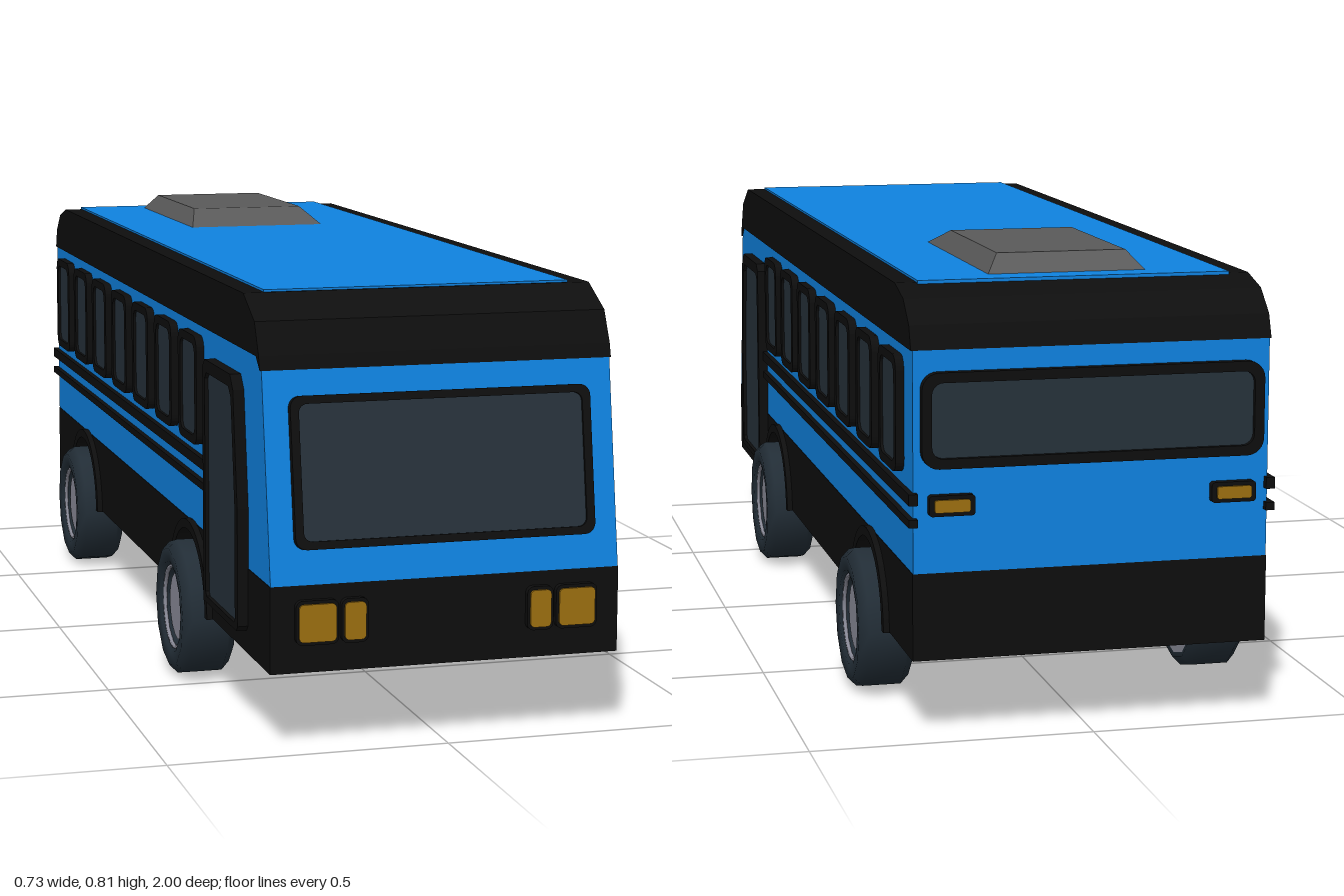
import * as THREE from 'three';

const mat = (name, color, side = THREE.FrontSide) => {
  const m = new THREE.MeshStandardMaterial({ color, side });
  m.name = name;
  return m;
};

// Rounded rectangle outline
function roundRect(cx, cy, w, h, r) {
  const s = new THREE.Shape(), x = cx - w / 2, y = cy - h / 2, q = Math.PI / 2;
  s.absarc(x + w - r, y + r, r, -q, 0);
  s.absarc(x + w - r, y + h - r, r, 0, q);
  s.absarc(x + r, y + h - r, r, q, 2 * q);
  s.absarc(x + r, y + r, r, 2 * q, 3 * q);
  s.closePath();
  return s;
}

const poly = (pts) => new THREE.Shape(pts.map(([a, b]) => new THREE.Vector2(a, b)));

// Same outline with an opening cut in it
function withHole(outer, inner) {
  const s = outer.clone();
  s.holes.push(new THREE.Path(inner.getPoints(3)));
  return s;
}

// Extrusion centred on its depth, facing z
function plate(shape, depth) {
  return new THREE.ExtrudeGeometry(shape, { depth, bevelEnabled: false, curveSegments: 3 })
    .translate(0, 0, -depth / 2);
}

// Outline drawn in (z, y) and extruded across x
function slab(shape, width, curveSegments = 3) {
  return new THREE.ExtrudeGeometry(shape, { depth: width, bevelEnabled: false, curveSegments })
    .translate(0, 0, -width / 2).rotateY(-Math.PI / 2);
}

export function createModel() {
  const blue = mat('bodyBlue', 0x0f82e0);
  const black = mat('trimBlack', 0x0e0e0e);
  const glass = mat('darkGlass', 0x26313a);
  const rubber = mat('tyreRubber', 0x222d36, THREE.DoubleSide);
  const metal = mat('rimMetal', 0x8b8c99);
  const grey = mat('roofUnitGrey', 0x5a5a5a);
  const amber = mat('lampAmber', 0x9c6f10);

  const root = new THREE.Group();
  root.name = 'bus';
  const add = (name, geo, material, x = 0, y = 0, z = 0, parent = root) => {
    const m = new THREE.Mesh(geo, material);
    m.name = name;
    m.position.set(x, y, z);
    parent.add(m);
    return m;
  };

  const axles = [-0.623, 0.412];

  // Lower skirt with wheel arch openings
  const skirt = new THREE.Shape();
  skirt.moveTo(-0.98, 0.14);
  for (const z of axles) {
    skirt.lineTo(z - 0.14, 0.14);
    skirt.absarc(z, 0.14, 0.14, Math.PI, 0, true);
  }
  skirt.lineTo(0.985, 0.14);
  skirt.lineTo(0.985, 0.293);
  skirt.lineTo(-0.98, 0.293);
  skirt.closePath();
  add('lowerSkirt', slab(skirt, 0.632, 10), black);

  // Blue middle and black upper body
  add('bodyShell', slab(poly([[-0.98, 0.293], [0.985, 0.293], [0.927, 0.655], [0.9, 0.677], [-0.98, 0.677]]), 0.63), blue);
  add('upperBody', slab(poly([[-0.98, 0.677], [0.9, 0.677], [0.927, 0.655], [0.92, 0.68], [0.892, 0.735],
    [0.815, 0.775], [-0.85, 0.775], [-0.92, 0.757], [-0.965, 0.718]]), 0.636), black);
  add('roofPanel', new THREE.BoxGeometry(0.56, 0.006, 1.67), blue, 0, 0.776, -0.025);

  // Roof unit: a box with its top drawn in
  const unit = new THREE.BoxGeometry(0.294, 0.038, 0.515);
  const p = unit.attributes.position;
  for (let i = 0; i < p.count; i++) {
    if (p.getY(i) > 0) {
      p.setX(i, p.getX(i) * 0.8);
      p.setZ(i, p.getZ(i) > 0 ? 0.15 : -0.21);
    }
  }
  const unitFlat = unit.toNonIndexed();
  unitFlat.computeVertexNormals();
  add('roofUnit', unitFlat, grey, 0, 0.792, -0.555);

  // Windscreen leaning back with the front
  const screen = new THREE.Group();
  screen.name = 'windscreen';
  screen.position.set(0, 0.482, 0.957);
  screen.rotation.x = -0.16;
  root.add(screen);
  const screenHole = roundRect(0, 0, 0.512, 0.234, 0.015);
  add('windscreenFrame', plate(withHole(roundRect(0, 0, 0.542, 0.262, 0.02), screenHole), 0.024), black, 0, 0, 0, screen);
  add('windscreenGlass', plate(screenHole, 0.008), glass, 0, 0, 0.003, screen);

  // Rear window
  const rearHole = roundRect(0, 0, 0.57, 0.13, 0.02);
  add('rearWindowFrame', plate(withHole(roundRect(0, 0, 0.605, 0.165, 0.03), rearHole), 0.024), black, 0, 0.558, -0.984);
  add('rearWindowGlass', plate(rearHole, 0.008), glass, 0, 0.558, -0.983);

  // Door outline with a slanted front edge
  const doorOuter = poly([[0.578, 0.18], [0.825, 0.18], [0.835, 0.19], [0.835, 0.4], [0.807, 0.605],
    [0.785, 0.63], [0.595, 0.63], [0.578, 0.615]]);
  const doorInner = poly([[0.595, 0.2], [0.603, 0.192], [0.808, 0.192], [0.815, 0.2], [0.815, 0.4],
    [0.79, 0.59], [0.772, 0.607], [0.608, 0.607], [0.595, 0.595]]);
  const doorFrame = slab(withHole(doorOuter, doorInner), 0.024);
  const doorGlass = slab(doorInner, 0.008);

  const winHole = roundRect(0, 0, 0.117, 0.172, 0.02);
  const winFrame = slab(withHole(roundRect(0, 0, 0.152, 0.204, 0.025), winHole), 0.02);
  const winGlass = slab(winHole, 0.008);

  // Wheel arch trim
  const arch = new THREE.Shape();
  arch.absarc(0, 0, 0.158, 0, Math.PI, false);
  arch.absarc(0, 0, 0.14, Math.PI, 0, true);
  arch.closePath();
  const archGeo = slab(arch, 0.02, 10);

  // Wheel pieces, turned about x with the outer face towards +x
  const tyreGeo = new THREE.LatheGeometry([[0.1, -0.048], [0.114, -0.051], [0.13, -0.035], [0.13, 0.035],
    [0.114, 0.051], [0.088, 0.049], [0.07, 0.03]].map(([r, y]) => new THREE.Vector2(r, y)), 12).rotateZ(-Math.PI / 2);
  const innerDisc = new THREE.CylinderGeometry(0.108, 0.108, 0.01, 12).rotateZ(-Math.PI / 2);
  const hub = new THREE.CylinderGeometry(0.064, 0.072, 0.06, 16).rotateZ(-Math.PI / 2);
  const rimRing = new THREE.TorusGeometry(0.078, 0.004, 6, 24).rotateY(Math.PI / 2);
  const axleGeo = new THREE.CylinderGeometry(0.02, 0.02, 0.56, 10).rotateZ(Math.PI / 2);

  // Everything mirrored on both sides
  for (const s of [1, -1]) {
    add('doorFrame', doorFrame, black, s * 0.323);
    add('doorGlass', doorGlass, glass, s * 0.324);
    for (let i = 0; i < 7; i++) {
      const z = 0.433 - i * 0.2112;
      add('sideWindowFrame', winFrame, black, s * 0.32, 0.556, z);
      add('sideWindowGlass', winGlass, glass, s * 0.321, 0.556, z);
    }
    add('upperStripe', new THREE.BoxGeometry(0.016, 0.02, 1.57), black, s * 0.317, 0.424, -0.208);
    add('lowerStripe', new THREE.BoxGeometry(0.016, 0.014, 1.57), black, s * 0.317, 0.383, -0.208);

    for (const z of axles) {
      add('archTrim', archGeo, black, s * 0.317, 0.139, z);
      const wheel = new THREE.Group();
      wheel.name = 'wheel';
      wheel.position.set(s * 0.312, 0.13, z);
      wheel.rotation.y = s > 0 ? 0 : Math.PI;
      root.add(wheel);
      add('tyre', tyreGeo, rubber, 0, 0, 0, wheel);
      add('innerDisc', innerDisc, metal, -0.044, 0, 0, wheel);
      add('hub', hub, metal, 0.005, 0, 0, wheel);
      add('rimRing', rimRing, metal, 0.041, 0, 0, wheel);
    }

    // Headlamps: wide outer and narrow inner
    for (const [x, w] of [[0.235, 0.066], [0.168, 0.038]]) {
      add('headlampHousing', plate(roundRect(0, 0, w + 0.01, 0.078, 0.012), 0.02), black, s * x, 0.229, 0.986);
      add('headlamp', plate(roundRect(0, 0, w, 0.066, 0.008), 0.006), amber, s * x, 0.229, 0.997);
    }

    // Rear lamps
    add('rearLampHousing', plate(roundRect(0, 0, 0.08, 0.036, 0.006), 0.02), black, s * 0.25, 0.412, -0.985);
    add('rearLamp', plate(roundRect(0, 0, 0.062, 0.022, 0.004), 0.006), amber, s * 0.25, 0.412, -0.996);
  }

  for (const z of axles) add('axle', axleGeo, black, 0, 0.13, z);
  return root;
}
